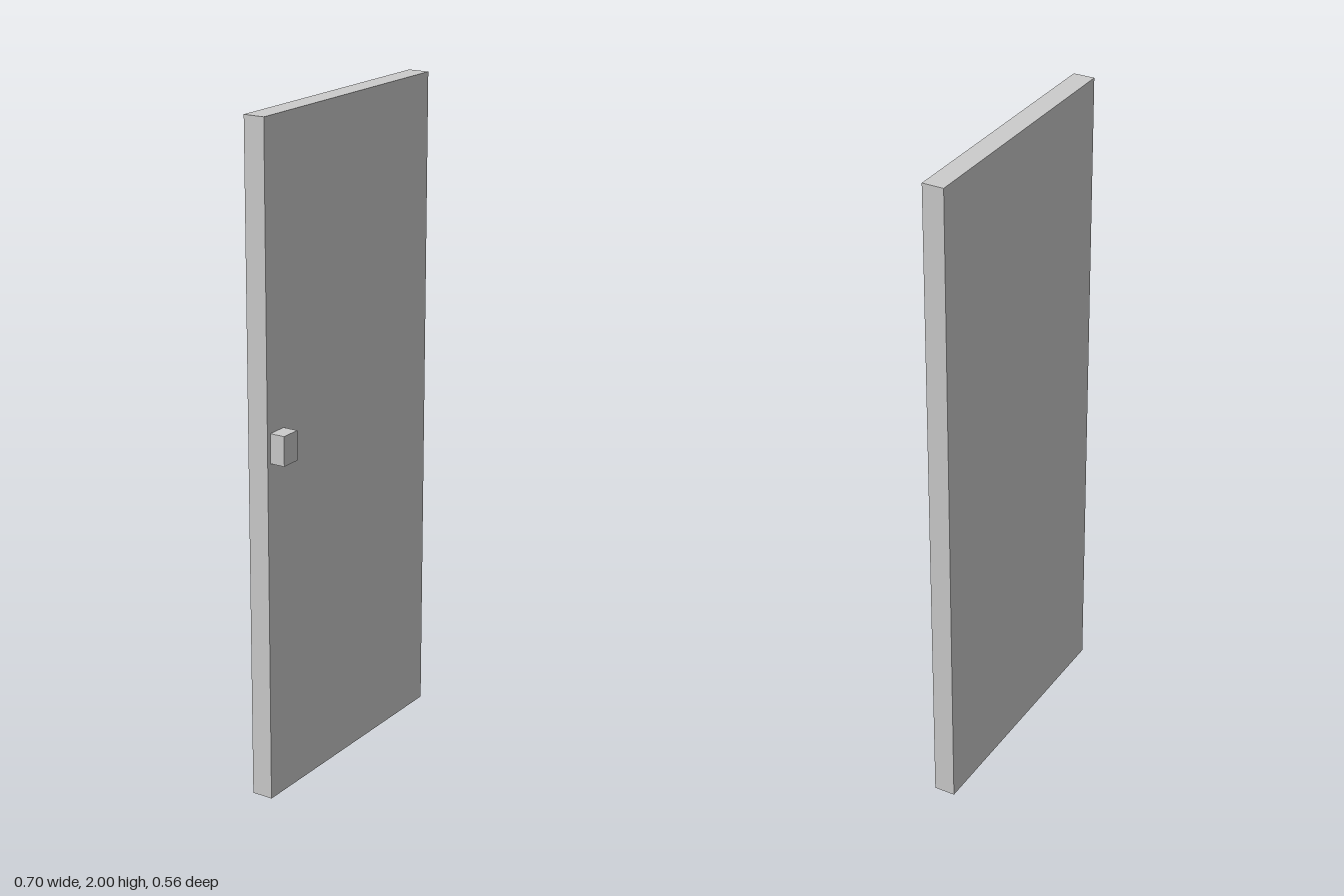
import * as THREE from 'three';

export function createModel() {
  const model = new THREE.Group();
  const material = new THREE.MeshStandardMaterial({ color: 0xcccccc, flatShading: true });

  // Door swung open about the vertical axis
  const door = new THREE.Group();
  door.name = 'door';
  door.position.set(0, 0, -0.015);
  door.rotation.y = Math.PI / 5;
  model.add(door);

  function addBox(name, size, position) {
    const mesh = new THREE.Mesh(new THREE.BoxGeometry(...size), material);
    mesh.name = name;
    mesh.position.set(...position);
    door.add(mesh);
  }

  const thickness = 0.065;
  const handleDepth = 0.046;

  // Plain slab standing on the floor
  addBox('doorPanel', [0.822, 2, thickness], [0, 1, 0]);
  // Block handle on the front face, near the free edge
  addBox('handle', [0.064, 0.088, handleDepth], [-0.365, 1.074, (thickness + handleDepth) / 2]);

  return model;
}
